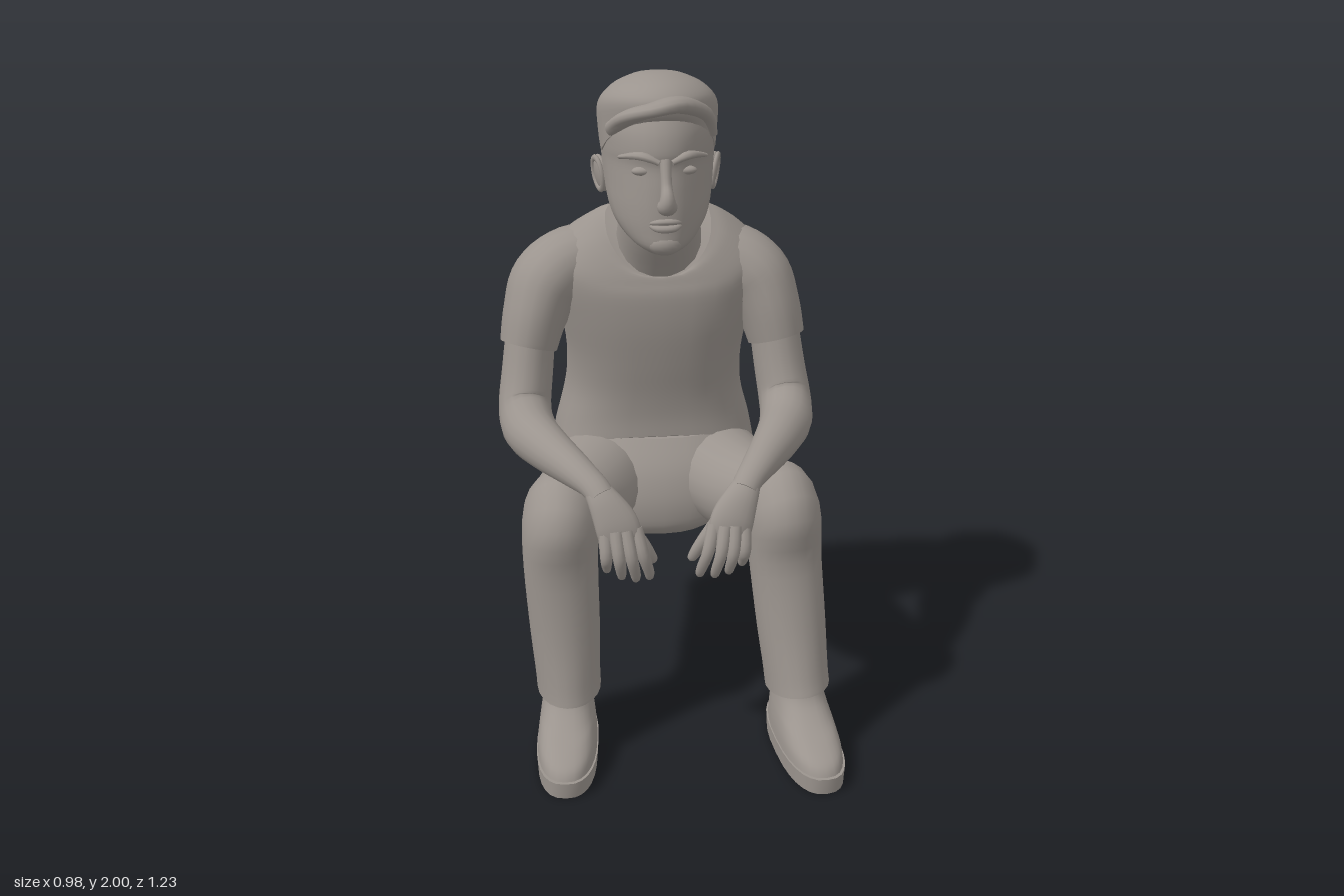
import * as THREE from 'three';

const grey = new THREE.MeshStandardMaterial({ color: 0x9b948e });
grey.name = 'warm grey';

// Catmull-Rom resampling of rows of numbers
function resample(rows, sub) {
  const out = [], n = rows.length;
  const at = (i) => rows[Math.max(0, Math.min(n - 1, i))];
  for (let i = 0; i < n - 1; i++) {
    for (let k = 0; k < sub; k++) {
      const t = k / sub;
      out.push(rows[i].map((p1, c) => {
        const p0 = at(i - 1)[c], p2 = at(i + 1)[c], p3 = at(i + 2)[c];
        return p1 + 0.5 * t * (p2 - p0 + t * (2 * p0 - 5 * p1 + 4 * p2 - p3 + t * (3 * (p1 - p2) + p3 - p0)));
      }));
    }
  }
  out.push(rows[n - 1]);
  return out;
}

// Skin a list of closed rings and cap both ends
function skin(name, rings) {
  const n = rings[0].length, pos = [], idx = [];
  rings.forEach((r) => r.forEach((p) => pos.push(p.x, p.y, p.z)));
  for (let i = 0; i < rings.length - 1; i++) {
    for (let j = 0; j < n; j++) {
      const a = i * n + j, b = i * n + (j + 1) % n;
      idx.push(a, b, b + n, a, b + n, a + n);
    }
  }
  [rings[0], rings[rings.length - 1]].forEach((r, end) => {
    const base = pos.length / 3, c = new THREE.Vector3();
    r.forEach((p) => { pos.push(p.x, p.y, p.z); c.addScaledVector(p, 1 / n); });
    pos.push(c.x, c.y, c.z);
    for (let j = 0; j < n; j++) {
      const a = base + j, b = base + (j + 1) % n;
      idx.push(base + n, ...(end ? [a, b] : [b, a]));
    }
  });
  const g = new THREE.BufferGeometry();
  g.setAttribute('position', new THREE.Float32BufferAttribute(pos, 3));
  g.setIndex(idx);
  g.computeVertexNormals();
  const m = new THREE.Mesh(g, grey);
  m.name = name;
  return m;
}

// Limb along a path: rows of [x, y, z, radius across, radius deep]
function limb(name, rows, { sides = 18, sub = 4, ref = [1, 0, 0] } = {}) {
  const s = resample(rows, sub), c = s.map((r) => new THREE.Vector3(r[0], r[1], r[2]));
  return skin(name, s.map((r, i) => {
    const t = c[Math.min(i + 1, c.length - 1)].clone().sub(c[Math.max(i - 1, 0)]).normalize();
    const u = new THREE.Vector3(...ref);
    u.addScaledVector(t, -u.dot(t)).normalize();
    const v = t.clone().cross(u);
    return Array.from({ length: sides }, (_, j) => {
      const a = j / sides * Math.PI * 2;
      return c[i].clone().addScaledVector(u, Math.cos(a) * r[3]).addScaledVector(v, Math.sin(a) * r[4]);
    });
  }));
}

// Stacked body rings, bottom to top: [front y, front z, back y, back z, half width, optional side lift]
// taper narrows the front half
function stack(name, rows, { sub = 4, power = 2, taper = 0 } = {}) {
  const sides = 28, f = (x) => Math.sign(x) * Math.abs(x) ** (2 / power);
  const full = rows.map((r) => [...r.slice(0, 5), r[5] ?? 0]);
  return skin(name, resample(full, sub).map(([yf, zf, yb, zb, w, lift]) =>
    Array.from({ length: sides }, (_, j) => {
      const a = j / sides * Math.PI * 2, c = f(Math.cos(a)), s = f(Math.sin(a));
      return new THREE.Vector3(c * w * (1 - taper * Math.max(0, -s)),
        (yf + yb) / 2 + s * (yb - yf) / 2 + lift * c * c, (zf + zb) / 2 + s * (zb - zf) / 2);
    })));
}

function ball(name, x, y, z, rx, ry, rz) {
  const m = new THREE.Mesh(new THREE.SphereGeometry(1, 16, 12), grey);
  m.name = name;
  m.position.set(x, y, z);
  m.scale.set(rx, ry, rz);
  return m;
}

function makeHead() {
  const head = new THREE.Group();
  head.name = 'head';
  head.position.x = -0.014;
  head.add(stack('face', [
    [1.508, 0.125, 1.525, 0.05, 0.05], [1.53, 0.16, 1.56, -0.03, 0.092], [1.58, 0.163, 1.60, -0.10, 0.128],
    [1.64, 0.162, 1.64, -0.16, 0.147], [1.70, 0.157, 1.70, -0.205, 0.156], [1.76, 0.15, 1.76, -0.228, 0.162],
    [1.80, 0.157, 1.80, -0.232, 0.164], [1.86, 0.145, 1.86, -0.23, 0.163], [1.93, 0.11, 1.93, -0.19, 0.13],
  ], { power: 2.15, taper: 0.25 }));
  head.add(stack('hair', [
    [1.885, 0.125, 1.63, -0.165, 0.163, 0.03], [1.905, 0.145, 1.72, -0.232, 0.171, 0.03], [1.945, 0.145, 1.84, -0.245, 0.171, 0.02],
    [1.98, 0.1, 1.94, -0.2, 0.133], [1.997, 0.03, 1.985, -0.12, 0.07], [2.0, -0.02, 1.998, -0.06, 0.02],
  ], { power: 2.1, taper: 0.2 }));
  head.add(limb('quiff', [
    [-0.145, 1.855, 0.05, 0.02, 0.015], [-0.1, 1.9, 0.125, 0.022, 0.035], [-0.04, 1.925, 0.16, 0.02, 0.042],
    [0.04, 1.935, 0.14, 0.024, 0.035], [0.12, 1.895, 0.07, 0.02, 0.025], [0.15, 1.83, 0.03, 0.01, 0.012],
  ], { ref: [0, 1, 0], sides: 12 }));
  head.add(limb('nose', [
    [0, 1.785, 0.145, 0.016, 0.016], [0, 1.72, 0.17, 0.016, 0.02], [0, 1.685, 0.195, 0.021, 0.026],
    [0, 1.663, 0.19, 0.029, 0.026], [0, 1.65, 0.165, 0.02, 0.012],
  ], { sides: 12 }));
  head.add(ball('chin', 0, 1.545, 0.132, 0.05, 0.035, 0.036));
  for (const [y, r] of [[1.613, 0.008], [1.594, 0.01]]) {
    head.add(limb('lip', [[-0.05, 1.603, 0.135, 0.003, 0.005], [-0.022, y, 0.162, r, 0.011], [0.022, y, 0.162, r, 0.011],
      [0.05, 1.603, 0.135, 0.003, 0.005]], { ref: [0, 1, 0], sides: 10 }));
  }
  for (const s of [-1, 1]) {
    head.add(limb('brow', [[s * 0.018, 1.778, 0.152, 0.008, 0.012], [s * 0.065, 1.795, 0.135, 0.012, 0.018],
      [s * 0.118, 1.782, 0.075, 0.006, 0.012]], { ref: [0, 1, 0], sides: 10 }));
    head.add(ball('eye', s * 0.062, 1.75, 0.12, 0.03, 0.013, 0.018));
    // Ear: lobe flaring backwards with a thin raised rim
    const ear = new THREE.Group();
    ear.name = 'ear';
    ear.position.set(s * 0.162, 1.705, -0.07);
    ear.rotation.set(-0.15, s * 0.3, s * -0.12, 'YXZ');
    ear.rotation.y = s * -0.3;
    const rim = new THREE.Mesh(new THREE.TorusGeometry(0.033, 0.007, 8, 20), grey);
    rim.name = 'earRim';
    rim.rotation.y = Math.PI / 2;
    rim.scale.y = 1.4;
    rim.position.x = s * 0.01;
    ear.add(ball('earLobe', 0, 0, 0, 0.016, 0.055, 0.038), rim);
    head.add(ear);
  }
  return head;
}

function makeArm(s) {
  const arm = new THREE.Group();
  arm.name = s > 0 ? 'leftArm' : 'rightArm';
  arm.position.x = -0.015;
  const part = (name, rows, o) => arm.add(limb(name, rows.map(([x, ...r]) => [s * x, ...r]), o));
  part('sleeve', [[0.1, 1.43, -0.26, 0.08, 0.1], [0.23, 1.395, -0.25, 0.11, 0.135], [0.315, 1.335, -0.225, 0.117, 0.15],
    [0.358, 1.25, -0.19, 0.1, 0.138], [0.383, 1.155, -0.165, 0.088, 0.122]], { sub: 5 });
  part('forearm', [[0.37, 1.24, -0.18, 0.075, 0.1], [0.39, 1.08, -0.14, 0.078, 0.1], [0.402, 0.98, -0.095, 0.08, 0.1],
    [0.39, 0.94, 0.0, 0.08, 0.08], [0.34, 0.925, 0.12, 0.068, 0.068], [0.27, 0.91, 0.25, 0.052, 0.05],
    [0.225, 0.892, 0.32, 0.042, 0.036], [0.205, 0.87, 0.35, 0.04, 0.034]]);
  part('palm', [[0.225, 0.893, 0.32, 0.035, 0.03], [0.198, 0.86, 0.36, 0.048, 0.03], [0.168, 0.805, 0.388, 0.062, 0.027],
    [0.155, 0.76, 0.4, 0.06, 0.02], [0.152, 0.745, 0.4, 0.04, 0.01]]);
  // Four fingers from index to little, then the thumb
  for (let i = 0; i < 4; i++) {
    const k = i / 3, x = 0.112 + 0.088 * k, tx = 0.075 + 0.122 * k, ty = 0.62 + 0.03 * k * k;
    const z = 0.39 + 0.02 * Math.sin(k * 3);
    part('finger', [[x, 0.785, z, 0.02, 0.018], [(x + tx) / 2, 0.715, z + 0.027, 0.018, 0.0175],
      [tx, ty + 0.03, z + 0.01, 0.015, 0.015], [tx - 0.002, ty + 0.007, z - 0.004, 0.011, 0.011], [tx - 0.002, ty, z - 0.006, 0.004, 0.004]],
    { sides: 10 });
  }
  part('thumb', [[0.19, 0.85, 0.345, 0.03, 0.028], [0.135, 0.775, 0.348, 0.028, 0.024], [0.085, 0.71, 0.348, 0.02, 0.019],
    [0.058, 0.66, 0.338, 0.015, 0.014], [0.052, 0.648, 0.336, 0.005, 0.005]], { sides: 10 });
  return arm;
}

function makeLeg(s, cuffX, cuffZ) {
  const leg = new THREE.Group();
  leg.name = s > 0 ? 'leftLeg' : 'rightLeg';
  const shin = (k, y, a, b) => [s * (0.335 + (cuffX - 0.335) * k), y, 0.235 + (cuffZ - 0.235) * k, a, b];
  leg.add(limb('trouserLeg', [
    [s * 0.15, 0.705, -0.42, 0.16, 0.135], [s * 0.185, 0.71, -0.2, 0.165, 0.145], [s * 0.25, 0.715, 0.0, 0.148, 0.142],
    [s * 0.305, 0.73, 0.12, 0.126, 0.13], [s * 0.33, 0.72, 0.205, 0.115, 0.15], shin(0.05, 0.6, 0.11, 0.094),
    shin(0.5, 0.4, 0.105, 0.106), shin(0.85, 0.25, 0.098, 0.128), shin(1, 0.192, 0.097, 0.14),
  ], { sides: 22 }));
  const shoe = new THREE.Group();
  shoe.name = 'shoe';
  shoe.position.set(s * (cuffX + 0.012), 0, cuffZ + 0.086);
  shoe.rotation.y = s * 0.09;
  shoe.add(stack('sole', [[0, 0.237, 0, -0.237, 0.09], [0.05, 0.24, 0.05, -0.239, 0.093]], { sub: 1, power: 2.5 }));
  shoe.add(stack('shoeUpper', [
    [0.04, 0.234, 0.04, -0.23, 0.09], [0.075, 0.213, 0.09, -0.225, 0.088], [0.105, 0.155, 0.13, -0.217, 0.083],
    [0.135, 0.085, 0.16, -0.205, 0.077], [0.18, 0.025, 0.19, -0.195, 0.07], [0.24, 0.0, 0.24, -0.175, 0.062],
  ], { power: 2.4 }));
  leg.add(shoe);
  return leg;
}

export function createModel() {
  const man = new THREE.Group();
  man.name = 'sittingMan';
  man.add(stack('shirt', [
    [0.86, -0.1, 0.595, -0.575, 0.33], [0.92, -0.1, 0.76, -0.613, 0.312], [1.0, -0.09, 0.95, -0.575, 0.28],
    [1.1, -0.07, 1.12, -0.52, 0.275], [1.22, -0.05, 1.27, -0.465, 0.295], [1.32, -0.045, 1.4, -0.41, 0.315],
    [1.365, -0.055, 1.5, -0.345, 0.305, 0.015], [1.385, -0.062, 1.55, -0.28, 0.215, 0.05], [1.382, -0.068, 1.568, -0.248, 0.16, 0.06],
  ], { power: 2.45 }));
  man.add(stack('trouserSeat', [
    [0.562, -0.02, 0.56, -0.5, 0.2], [0.6, 0.0, 0.6, -0.56, 0.28], [0.68, 0.0, 0.68, -0.59, 0.315],
    [0.77, -0.03, 0.75, -0.592, 0.312], [0.855, -0.09, 0.84, -0.57, 0.275],
  ], { power: 2.3 }));
  man.add(limb('neck', [[0, 1.38, -0.2, 0.15, 0.11], [0, 1.47, -0.155, 0.133, 0.118], [-0.005, 1.56, -0.1, 0.12, 0.118],
    [-0.01, 1.64, -0.07, 0.115, 0.115], [-0.01, 1.72, -0.05, 0.1, 0.1]]));
  man.add(makeHead());
  man.add(makeArm(1), makeArm(-1));
  man.add(makeLeg(1, 0.376, 0.287), makeLeg(-1, 0.318, 0.222));
  return man;
}
